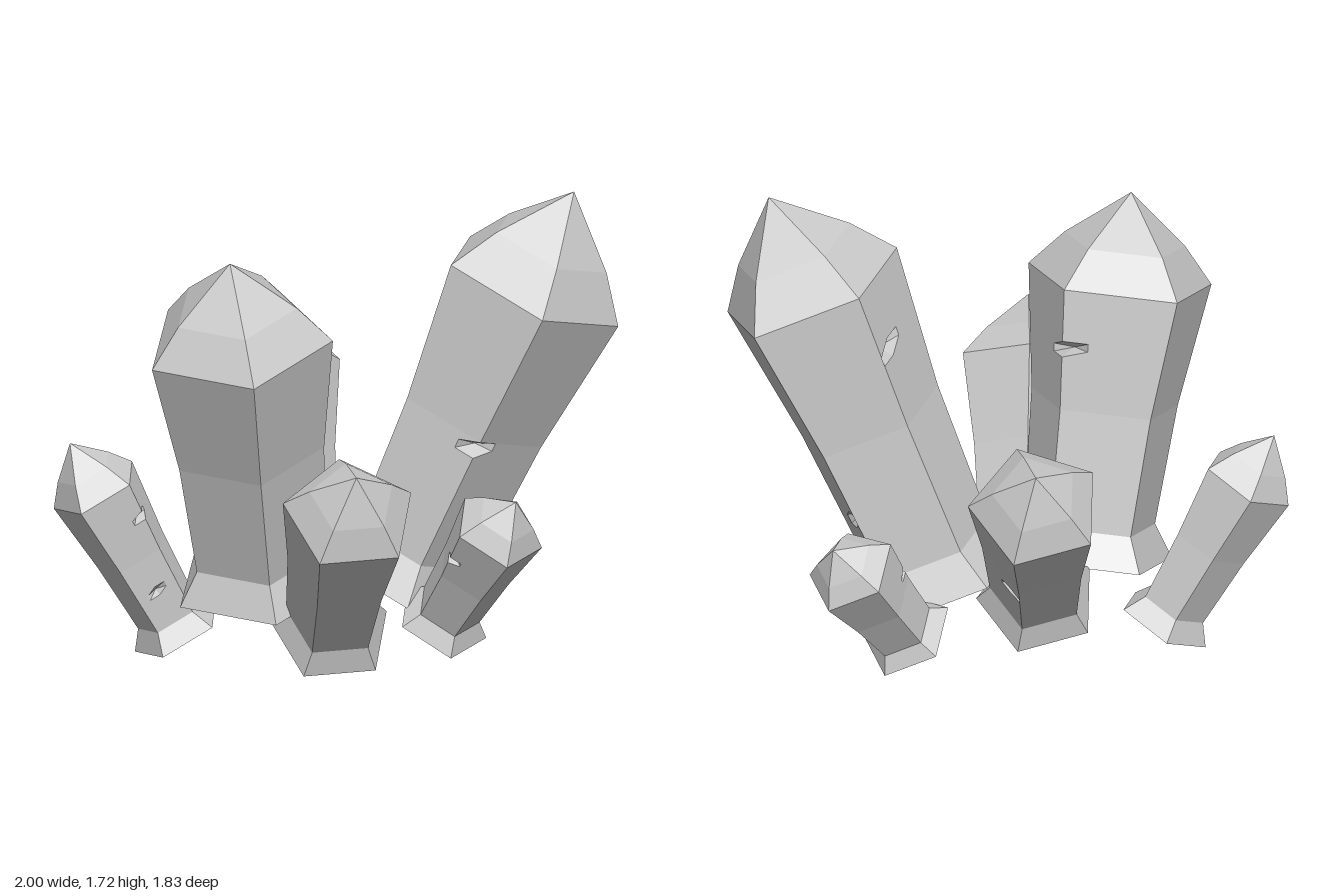
import * as THREE from 'three';

const SIDES = 5, SUB = 4, N = SIDES * SUB;
const vec = (a) => new THREE.Vector3(...a);

// Ring radii at foot, waist, middle, shoulder and halfway up the cap
const LARGE = [0.33, 0.25, 0.28, 0.35, 0.23];
const MEDIUM = [0.225, 0.175, 0.2, 0.248, 0.16];
const SMALL = [0.178, 0.125, 0.142, 0.174, 0.112];
// Ring positions as fractions of the line from foot to tip
const STOPS = [0, 0.09, 0.42, 0.757, 0.86];

// Open-ended five-sided crystal: a flared foot, a shaft that widens upward and a pointed cap.
// corner is one corner of the shoulder; chips are [point around, fraction along].
function crystalGeometry(radii, foot, tip, corner, chips) {
  const start = vec(foot), end = vec(tip);
  const axis = end.clone().sub(start).normalize();
  const u = vec(corner).sub(start).projectOnPlane(axis).normalize();
  const v = axis.clone().cross(u);

  const radiusAt = (t) => {
    const i = Math.max(1, STOPS.findIndex((s) => t <= s));
    return THREE.MathUtils.mapLinear(t, STOPS[i - 1], STOPS[i], radii[i - 1], radii[i]);
  };

  // Three close rings make each chip, with one point pushed inward
  const rings = STOPS.map((t) => ({ t }));
  for (const [point, t] of chips) rings.push({ t: t - 0.022 }, { t, point }, { t: t + 0.022 });
  rings.sort((a, b) => a.t - b.t);

  const pos = [], index = [];
  for (const { t, point } of rings) {
    const center = start.clone().lerp(end, t), radius = radiusAt(t);
    const cornerAt = (i) => {
      const a = (i * 2 * Math.PI) / SIDES;
      return center.clone().addScaledVector(u, radius * Math.cos(a)).addScaledVector(v, radius * Math.sin(a));
    };
    for (let k = 0; k < N; k++) {
      const side = Math.floor(k / SUB);
      const p = cornerAt(side).lerp(cornerAt(side + 1), (k % SUB) / SUB);
      if (k === point) p.lerp(center, 0.25);
      pos.push(...p.toArray());
    }
  }
  const top = (rings.length - 1) * N;
  pos.push(...tip);
  for (let k = 0; k < N; k++) {
    const n = (k + 1) % N;
    for (let r = 0; r < top; r += N) index.push(r + k, r + n, r + N + n, r + k, r + N + n, r + N + k);
    index.push(top + k, top + n, top + N); // point of the cap
  }
  const indexed = new THREE.BufferGeometry();
  indexed.setAttribute('position', new THREE.Float32BufferAttribute(pos, 3));
  indexed.setIndex(index);
  const geometry = indexed.toNonIndexed();
  geometry.computeVertexNormals();
  return geometry;
}

export function createModel() {
  const group = new THREE.Group();
  group.name = 'crystalCluster';
  const material = new THREE.MeshStandardMaterial({ color: 0xcccccc, flatShading: true, side: THREE.DoubleSide });
  const addCrystal = (name, ...shape) => {
    const mesh = new THREE.Mesh(crystalGeometry(...shape), material);
    mesh.name = name;
    group.add(mesh);
  };

  // Two tall crystals in the middle
  addCrystal('tallLeftCrystal', LARGE, [0.25, 0.26, -0.05], [0.86, 1.725, 0.15], [0.66, 1.33, 0.44], [[7, 0.24], [13, 0.6], [0, 0.4]]);
  addCrystal('tallRightCrystal', LARGE, [-0.28, 0.31, 0.03], [-0.47, 1.61, 0.32], [-0.45, 1.21, 0.59], [[8, 0.59], [3, 0.28]]);
  // Medium crystals leaning to the front and back
  addCrystal('frontCrystal', MEDIUM, [-0.08, 0.17, 0.28], [-0.145, 0.945, 0.885], [-0.12, 0.92, 0.54], []);
  addCrystal('backCrystal', MEDIUM, [-0.08, 0.29, -0.3], [-0.02, 1.06, -0.89], [0.02, 1.03, -0.57], [[7, 0.35]]);
  // Small crystals around the outside
  addCrystal('smallRightCrystal', SMALL, [-0.55, 0.09, -0.11], [-0.95, 0.83, -0.13], [-1, 0.58, -0.18], [[6, 0.26], [8, 0.6]]);
  addCrystal('smallFrontCrystal', SMALL, [0.33, 0.18, 0.28], [0.515, 0.725, 0.64], [0.47, 0.51, 0.7], [[16, 0.56]]);
  addCrystal('smallBackCrystal', SMALL, [0.4, 0.2, -0.37], [0.69, 0.655, -0.59], [0.79, 0.48, -0.43], [[12, 0.5]]);
  return group;
}
